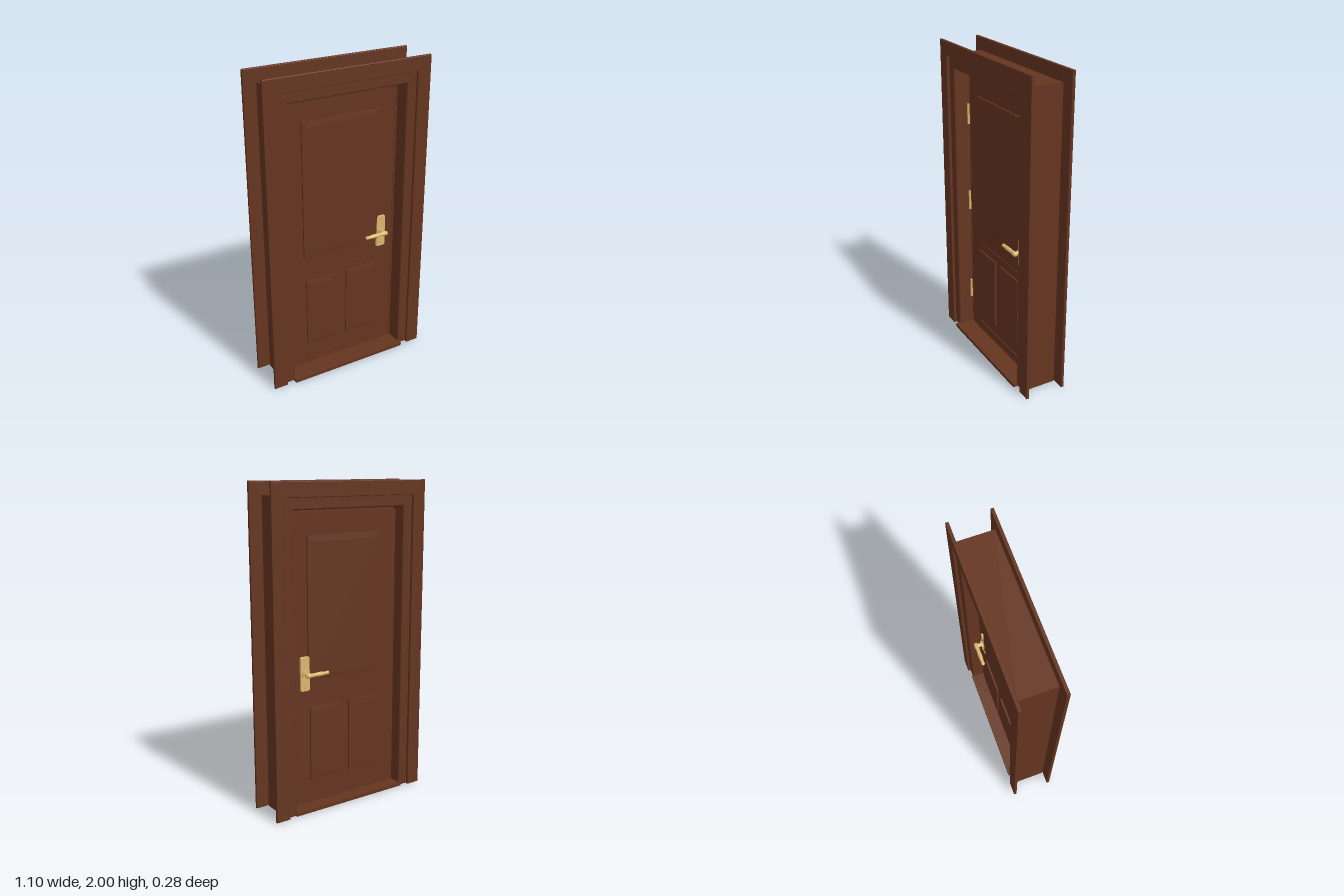
import * as THREE from 'three';

const wood = new THREE.MeshStandardMaterial({ color: 0x653520 });
wood.name = 'brown wood';
const brass = new THREE.MeshStandardMaterial({ color: 0xdcb76e });
brass.name = 'brass';

function add(parent, name, geometry, material, x = 0, y = 0, z = 0) {
  const mesh = new THREE.Mesh(geometry, material);
  mesh.name = name;
  mesh.position.set(x, y, z);
  parent.add(mesh);
  return mesh;
}

function box(parent, name, x0, x1, y0, y1, z0, z1) {
  return add(parent, name, new THREE.BoxGeometry(x1 - x0, y1 - y0, z1 - z0), wood,
    (x0 + x1) / 2, (y0 + y1) / 2, (z0 + z1) / 2);
}

// Upside-down U around the doorway, with softened edges
function surround(parent, name, outerX, outerY, innerX, innerY, z0, z1, bevel) {
  const ox = outerX - bevel, oy = outerY - bevel, ix = innerX + bevel, iy = innerY + bevel;
  const shape = new THREE.Shape([
    [-ox, bevel], [-ix, bevel], [-ix, iy], [ix, iy], [ix, bevel], [ox, bevel], [ox, oy], [-ox, oy],
  ].map(([x, y]) => new THREE.Vector2(x, y)));
  const geometry = new THREE.ExtrudeGeometry(shape, {
    depth: z1 - z0 - 2 * bevel, bevelSize: bevel, bevelThickness: bevel, bevelSegments: 3,
  });
  return add(parent, name, geometry, wood, 0, 0, z0 + bevel);
}

// Raised panel: upright sides, then a shallow slope up to the field
function raisedPanel(parent, name, x0, x1, y0, y1, z, back) {
  const slope = 0.034, w = (x1 - x0) / 2 - slope, h = (y1 - y0) / 2 - slope;
  const shape = new THREE.Shape([[-w, -h], [w, -h], [w, h], [-w, h]].map(([x, y]) => new THREE.Vector2(x, y)));
  const geometry = new THREE.ExtrudeGeometry(shape, {
    depth: 0.011, bevelSize: slope, bevelThickness: 0.003, bevelSegments: 1,
  });
  const mesh = add(parent, name, geometry, wood, (x0 + x1) / 2, (y0 + y1) / 2, z);
  if (back) mesh.rotation.y = Math.PI;
}

// Lock plate with lever; the lever points along dir in its own frame
function handle(name, dir) {
  const group = new THREE.Group();
  group.name = name;
  const w = 0.03, h = 0.105, r = 0.012;
  const shape = new THREE.Shape();
  shape.moveTo(-w + r, -h);
  shape.lineTo(w - r, -h);
  shape.quadraticCurveTo(w, -h, w, -h + r);
  shape.lineTo(w, h - r);
  shape.quadraticCurveTo(w, h, w - r, h);
  shape.lineTo(-w + r, h);
  shape.quadraticCurveTo(-w, h, -w, h - r);
  shape.lineTo(-w, -h + r);
  shape.quadraticCurveTo(-w, -h, -w + r, -h);
  add(group, 'lockPlate', new THREE.ExtrudeGeometry(shape, {
    depth: 0.01, bevelSize: 0.002, bevelThickness: 0.003, bevelSegments: 2,
  }), brass);

  const disc = (part, radius, length, x, y, z) => {
    const mesh = add(group, part, new THREE.CylinderGeometry(radius, radius, length, 24), brass, x, y, z);
    mesh.rotation.x = Math.PI / 2;
  };
  disc('rose', 0.024, 0.012, 0, 0, 0.018);
  disc('spindle', 0.013, 0.045, 0, 0, 0.037);
  disc('lockCylinder', 0.012, 0.006, 0, -0.08, 0.014);
  for (const y of [-0.096, 0.09]) disc('screw', 0.004, 0.004, 0, y, 0.014);

  // Turned grip with rings
  const profile = [[0, -0.022], [0.011, -0.019], [0.015, -0.006], [0.014, 0.015], [0.011, 0.03], [0.0135, 0.035],
    [0.011, 0.04], [0.0135, 0.06], [0.013, 0.09], [0.01, 0.12], [0.012, 0.126], [0.011, 0.136], [0, 0.143]];
  const grip = add(group, 'lever',
    new THREE.LatheGeometry(profile.map(([x, y]) => new THREE.Vector2(x, y)), 20), brass, 0, 0, 0.056);
  grip.rotation.z = -dir * Math.PI / 2;
  return group;
}

export function createModel() {
  const model = new THREE.Group();
  model.name = 'panelDoor';
  const front = 0.016, back = -0.045;

  // Frame: lining, casings on both faces, sill
  const frame = new THREE.Group();
  frame.name = 'frame';
  model.add(frame);
  surround(frame, 'lining', 0.47, 1.92, 0.397, 1.84, -0.122, 0.112, 0.01);
  surround(frame, 'frontCasing', 0.55, 2, 0.46, 1.91, 0.11, 0.13, 0.004);
  surround(frame, 'backCasing', 0.55, 2, 0.46, 1.91, -0.14, -0.12, 0.004);
  box(frame, 'sill', -0.406, 0.406, 0, 0.022, -0.13, 0.14);

  // Leaf, with edge strips that stop short of the upper corners
  const leaf = new THREE.Group();
  leaf.name = 'leaf';
  model.add(leaf);
  box(leaf, 'leafSlab', -0.373, 0.373, 0.028, 1.818, back, front);
  for (const side of [-1, 1]) {
    const inner = side * 0.37, outer = side * 0.398;
    box(leaf, 'edgeStrip', Math.min(inner, outer), Math.max(inner, outer), 0.02, 1.822, back + 0.004, front - 0.006);
    box(leaf, 'edgeBead', side * 0.385 - 0.003, side * 0.385 + 0.003, 0.022, 1.822, back + 0.004, front - 0.002);
  }
  box(leaf, 'topStrip', -0.383, 0.383, 1.815, 1.842, back + 0.004, front - 0.006);
  box(leaf, 'bottomStrip', -0.373, 0.373, 0.015, 0.03, back + 0.004, front - 0.006);

  // Rail strips on the front
  for (const [y0, y1] of [[0.04, 0.095], [0.648, 0.705], [1.77, 1.813]]) {
    box(leaf, 'railStrip', -0.252, 0.252, y0, y1, 0, front + 0.004);
  }

  // One tall panel over two small ones, on both faces
  for (const [side, z] of [['front', front], ['back', back]]) {
    const isBack = side === 'back';
    raisedPanel(leaf, side + 'UpperPanel', -0.268, 0.266, 0.813, 1.69, z, isBack);
    raisedPanel(leaf, side + 'LowerPanelRight', -0.255, -0.035, 0.175, 0.645, z, isBack);
    raisedPanel(leaf, side + 'LowerPanelLeft', 0.033, 0.253, 0.175, 0.645, z, isBack);
  }

  // Handles
  const frontHandle = handle('frontHandle', -1);
  frontHandle.position.set(0.29, 0.865, front);
  const backHandle = handle('backHandle', 1);
  backHandle.position.set(0.29, 0.865, back);
  backHandle.rotation.y = Math.PI;
  leaf.add(frontHandle, backHandle);

  // Hinges
  for (const y of [0.29, 0.955, 1.545]) {
    add(leaf, 'hinge', new THREE.CylinderGeometry(0.008, 0.008, 0.13, 16), brass, -0.388, y, 0.022);
  }
  return model;
}
